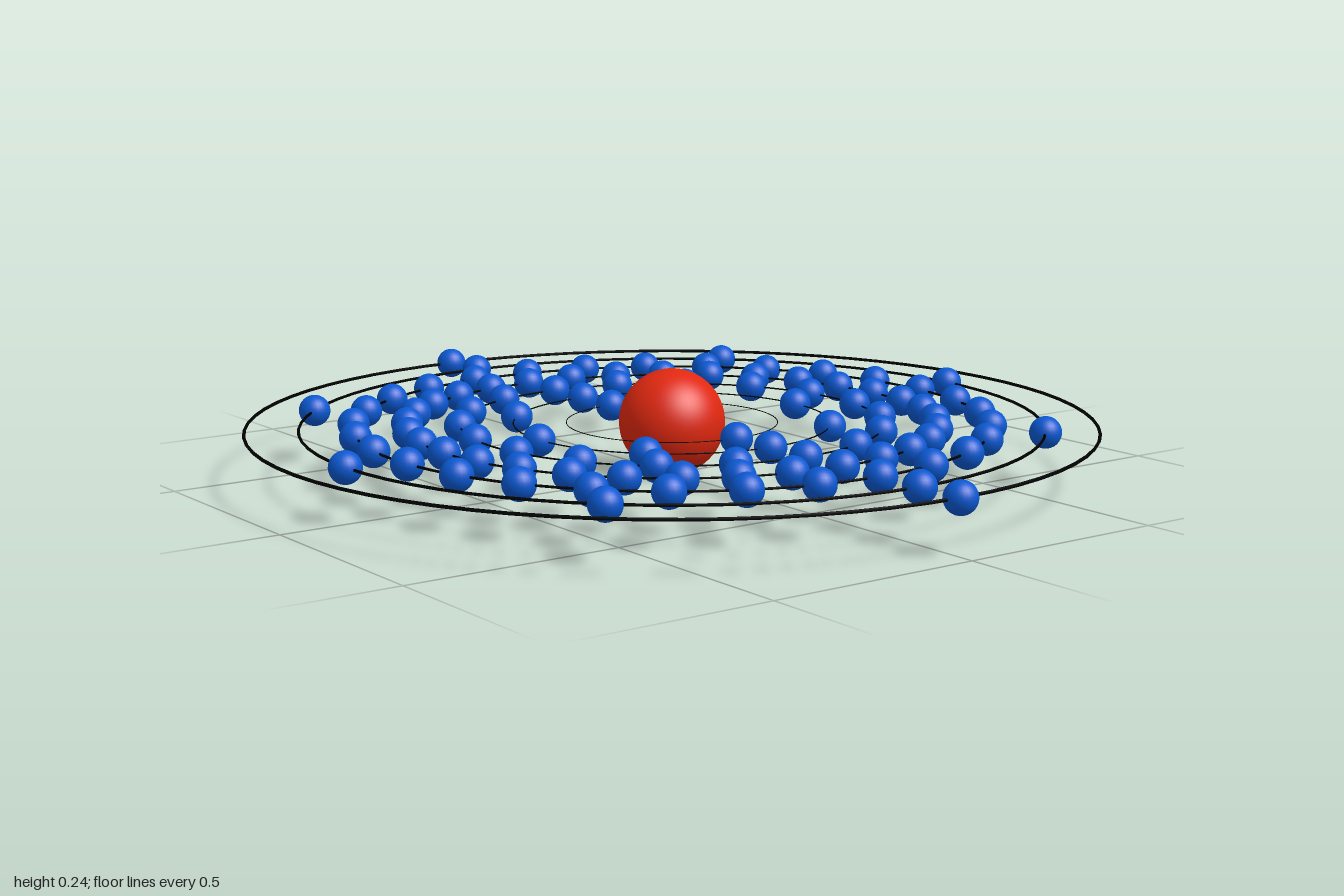
import * as THREE from 'three';

const CENTRE_Y = 0.121;
const RING_STEP = 0.1204;
const SHELLS = [2, 8, 18, 32, 29, 8, 2]; // electrons per shell, innermost first

const material = (color) => new THREE.MeshStandardMaterial({ color });

export function createModel() {
  const model = new THREE.Group();
  model.name = 'atom';

  const red = material(0xe02810);
  const blue = material(0x0a58d0);
  const black = material(0x000000);

  // Nucleus
  const nucleus = new THREE.Mesh(new THREE.SphereGeometry(0.121, 48, 32), red);
  nucleus.name = 'nucleus';
  nucleus.position.y = CENTRE_Y;
  model.add(nucleus);

  const electronGeometry = new THREE.SphereGeometry(0.0365, 24, 16);

  SHELLS.forEach((count, i) => {
    const radius = RING_STEP * (i + 2);
    const shell = new THREE.Group();
    shell.name = `shell${i + 1}`;
    shell.position.y = CENTRE_Y;

    // Thin orbit ring, its thickness growing with its radius
    const orbit = new THREE.Mesh(new THREE.TorusGeometry(radius, 0.004 * radius, 6, 72), black);
    orbit.name = 'orbit';
    orbit.rotation.x = Math.PI / 2;
    shell.add(orbit);

    // Electrons evenly spaced from the front, with the step in whole milliradians
    const step = Math.round((2000 * Math.PI) / count) / 1000;
    for (let k = 0; k < count; k++) {
      const electron = new THREE.Mesh(electronGeometry, blue);
      electron.name = 'electron';
      electron.position.set(radius * Math.sin(k * step), 0, radius * Math.cos(k * step));
      shell.add(electron);
    }
    model.add(shell);
  });

  return model;
}
